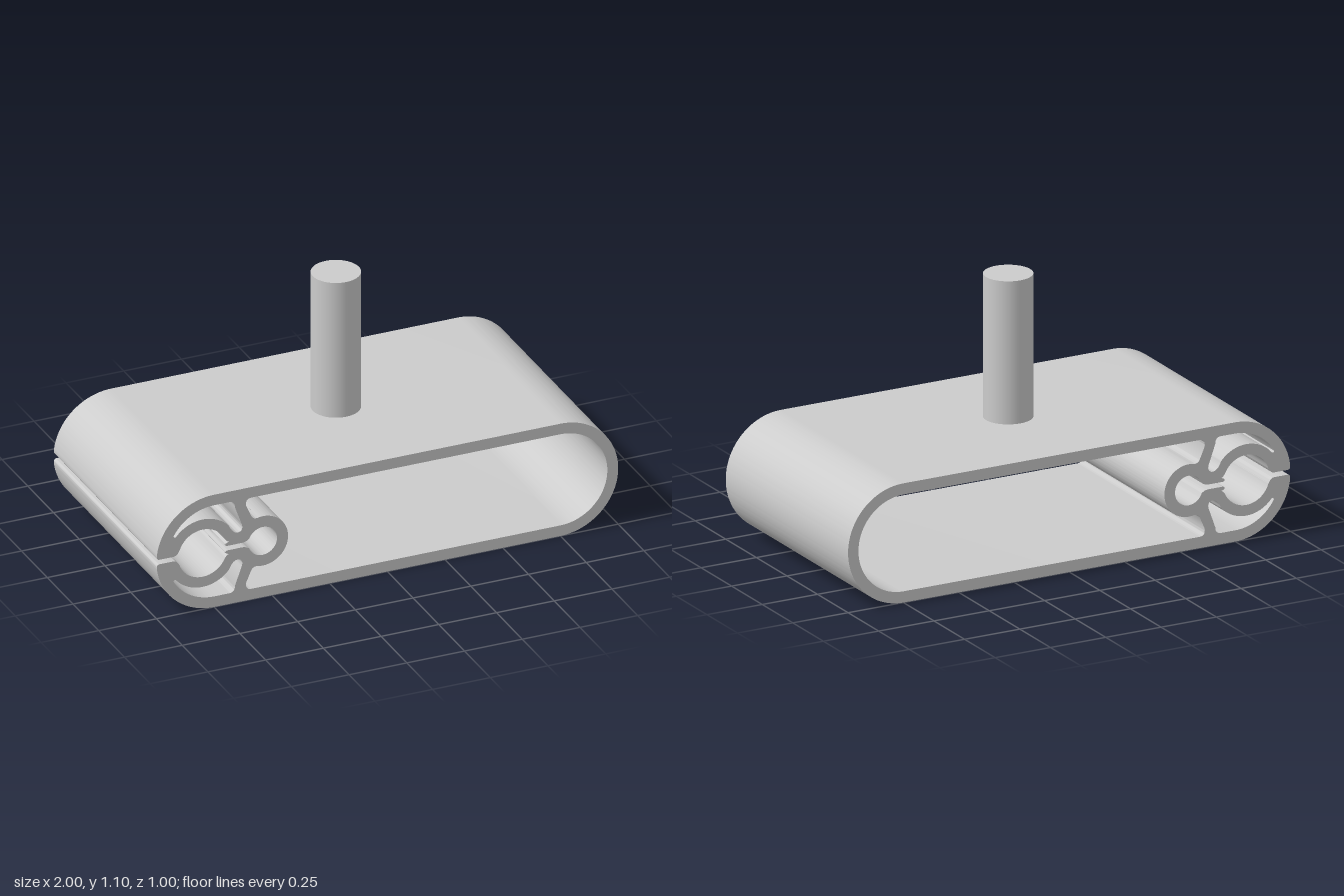
import * as THREE from 'three';
import { toCreasedNormals } from 'three/addons/utils/BufferGeometryUtils.js';

const MID = 0.25, DEPTH = 1;
const rad = THREE.MathUtils.degToRad;

// Adds an arc given in degrees; the direction follows from the order of the angles
function arc(path, cx, r, from, to) {
  path.absarc(cx, 0, r, rad(from), rad(to), to < from);
}

// Closes an upper half outline (starting and ending on the mid line) by mirroring it
function mirrored(points) {
  const lower = points.slice(1, -1).reverse().map(flip);
  const last = points[points.length - 1];
  if (Math.abs(last.y) > 1e-6) lower.unshift(flip(last));
  return points.concat(lower);
}

const flip = (p) => new THREE.Vector2(p.x, -p.y);

// Outer skin, then through the slit, the large bore and the small bore
function outerOutline() {
  const p = new THREE.Path();
  arc(p, 0.75, 0.25, 0, 90);
  arc(p, -0.75, 0.25, 90, 174);
  p.quadraticCurveTo(-1, 0.01, -0.985, 0.01);
  p.lineTo(-0.925, 0.01);
  p.quadraticCurveTo(-0.91, 0.011, -0.901, 0.032);
  arc(p, -0.8, 0.105, 162, 27);
  p.quadraticCurveTo(-0.698, 0.03, -0.685, 0.027);
  p.bezierCurveTo(-0.71, 0.022, -0.705, 0.01, -0.69, 0.01);
  p.lineTo(-0.63, 0.01);
  p.quadraticCurveTo(-0.61, 0.011, -0.598, 0.022);
  arc(p, -0.54, 0.062, 159, 0);
  return mirrored(p.getPoints(24));
}

// Large opening that wraps around the small ring
function mainCavity() {
  const p = new THREE.Path();
  arc(p, 0.75, 0.203, 0, 90);
  p.lineTo(-0.59, 0.203);
  p.quadraticCurveTo(-0.615, 0.203, -0.612, 0.172);
  p.lineTo(-0.59, 0.122);
  p.quadraticCurveTo(-0.581, 0.103, -0.559, 0.108);
  arc(p, -0.54, 0.11, 100, 0);
  return mirrored(p.getPoints(24));
}

// Crescent opening between the skin, the strut and the large ring
function crescent() {
  const p = new THREE.Path();
  arc(p, -0.75, 0.203, 150, 90);
  p.lineTo(-0.682, 0.203);
  p.quadraticCurveTo(-0.66, 0.2, -0.66, 0.175);
  p.lineTo(-0.633, 0.1);
  p.bezierCurveTo(-0.62, 0.07, -0.635, 0.06, -0.65, 0.06);
  p.quadraticCurveTo(-0.672, 0.063, -0.685, 0.096);
  arc(p, -0.8, 0.15, 40, 140);
  p.quadraticCurveTo(-0.924, 0.09, -0.926, 0.102);
  return p.getPoints(20);
}

export function createModel() {
  const model = new THREE.Group();
  const material = new THREE.MeshStandardMaterial({ color: 0xcccccc });

  // Extruded spring clip
  const shape = new THREE.Shape(outerOutline());
  const upper = crescent();
  for (const hole of [mainCavity(), upper, upper.map(flip)]) {
    shape.holes.push(new THREE.Path(hole));
  }
  const extrusion = new THREE.ExtrudeGeometry(shape, { depth: DEPTH, bevelEnabled: false });
  extrusion.translate(0, MID, -DEPTH / 2);
  const clip = new THREE.Mesh(toCreasedNormals(extrusion, rad(32)), material);
  clip.name = 'clipBody';
  model.add(clip);

  // Round post standing on the flat top
  const post = new THREE.Mesh(new THREE.CylinderGeometry(0.1, 0.1, 0.6, 48), material);
  post.name = 'post';
  post.position.y = 0.8;
  model.add(post);

  return model;
}
